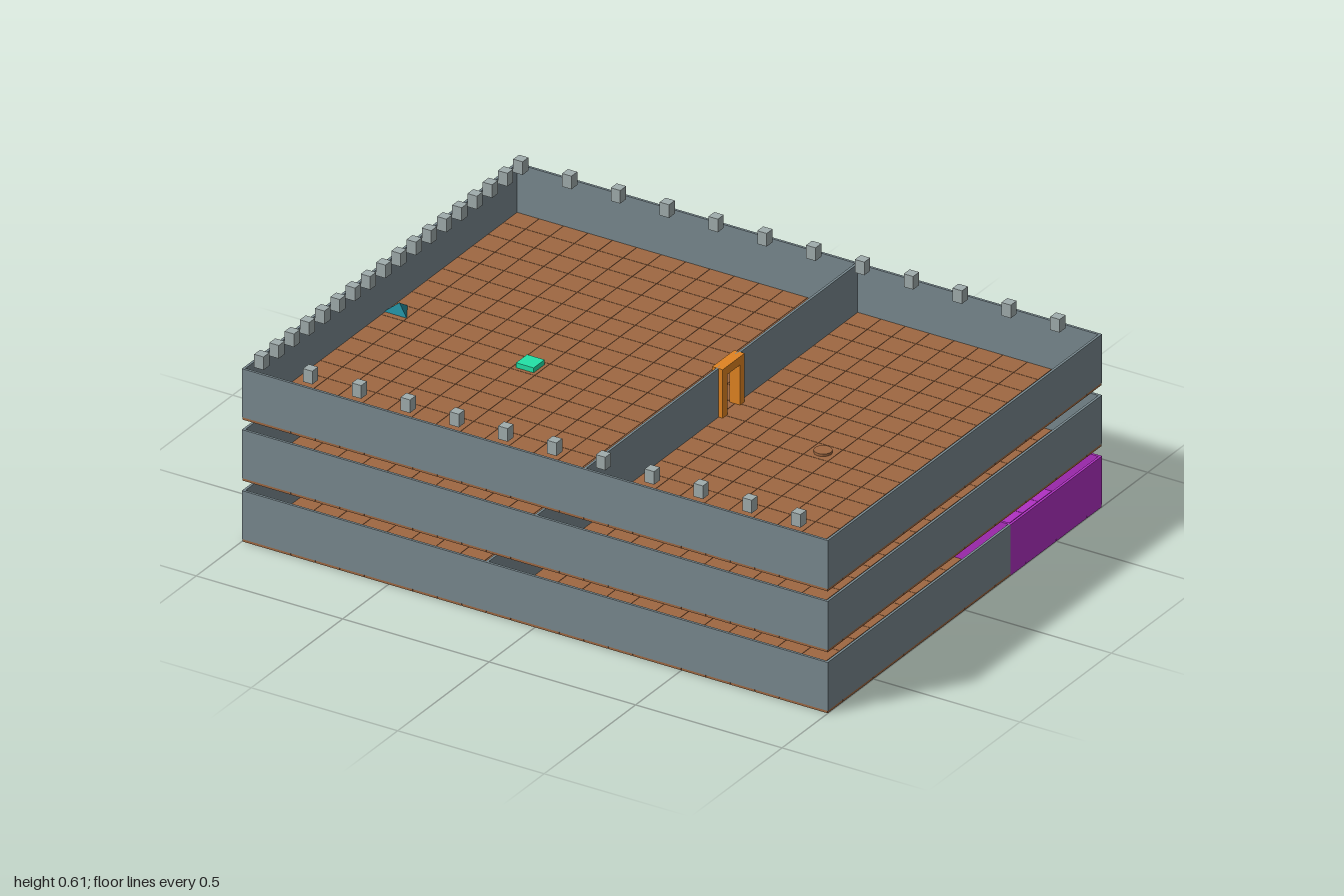
import * as THREE from 'three';
import { mergeGeometries } from 'three/addons/utils/BufferGeometryUtils.js';

const CELL = 1 / 12, COLS = 24, ROWS = 18;
const SLAB = 0.008, TOP = 0.167, STOREY = 0.2, WALL = 0.008;
const mat = (color) => new THREE.MeshStandardMaterial({ color, flatShading: true });
const stone = mat(0x78888e), paleStone = mat(0xa0acac), earth = mat(0x9e6842), purple = mat(0xb030c2);
const orange = mat(0xe08422), cyan = mat(0x45b0c8), teal = mat(0x1f8292), green = mat(0x22e0a6);

// Box given by its minimum and maximum corners
function box(x0, x1, y0, y1, z0, z1) {
  return new THREE.BoxGeometry(x1 - x0, y1 - y0, z1 - z0)
    .translate((x0 + x1) / 2, (y0 + y1) / 2, (z0 + z1) / 2);
}
function add(parent, name, geometries, material) {
  const mesh = new THREE.Mesh(mergeGeometries(geometries), material);
  mesh.name = name;
  parent.add(mesh);
}

// The coloured chamber occupies the back right corner of the lowest storey
const ROOM_X = 5 * CELL, ROOM_Z = -3 * CELL;

function floorTiles(storey, level) {
  const plain = [], tinted = [], h = CELL / 2 - 0.0007;
  for (let i = 0; i < COLS; i++) {
    for (let j = 0; j < ROWS; j++) {
      const x = -1 + (i + 0.5) * CELL, z = -0.75 + (j + 0.5) * CELL;
      const inRoom = level === 0 && x > ROOM_X && z < ROOM_Z;
      (inRoom ? tinted : plain).push(box(x - h, x + h, 0, SLAB, z - h, z + h));
    }
  }
  add(storey, 'floorTiles', plain, earth);
  if (tinted.length) add(storey, 'chamberFloor', tinted, purple);
}

function outerWalls(storey, level) {
  const backEnd = level === 0 ? ROOM_X : 1, sideStart = level === 0 ? ROOM_Z : -0.75;
  add(storey, 'outerWalls', [
    box(-1, 1, SLAB, TOP, 0.75 - WALL, 0.75),
    box(-1, backEnd, SLAB, TOP, -0.75, -0.75 + WALL),
    box(-1, -1 + WALL, SLAB, TOP, -0.75 + WALL, 0.75 - WALL),
    box(1 - WALL, 1, SLAB, TOP, sideStart, 0.75 - WALL),
  ], stone);
}

// Dividing wall along z with a framed doorway centred on doorZ
function partition(storey, x, doorZ, z0, z1, material) {
  const t = WALL / 2, half = CELL / 2;
  add(storey, 'partitionWall', [
    box(x - t, x + t, SLAB, TOP, z0, doorZ - half),
    box(x - t, x + t, SLAB, TOP, doorZ + half, z1),
  ], material);
  const d = 0.018, outer = 0.06, inner = 0.035, head = 0.14;
  add(storey, 'doorFrame', [
    box(x - d, x + d, SLAB, head, doorZ - outer, doorZ - inner),
    box(x - d, x + d, SLAB, head, doorZ + inner, doorZ + outer),
    box(x - d, x + d, head, TOP, doorZ - outer, doorZ + outer),
  ], orange);
}

// Open treads rising one storey towards +z, arriving at topZ
function stairs(storey, x, topZ) {
  const treads = [], n = 15, step = STOREY / (n + 1);
  for (let i = 0; i < n; i++) {
    const y = SLAB + i * step, z = topZ - (n - i) * step;
    treads.push(box(x - 0.0175, x + 0.0175, y, y + 0.009, z, z + 0.016));
  }
  add(storey, 'stairTreads', treads, cyan);
}

export function createModel() {
  const model = new THREE.Group();
  model.name = 'threeStoreyFort';
  const storeys = ['lowerStorey', 'middleStorey', 'upperStorey'].map((name, level) => {
    const storey = new THREE.Group();
    storey.name = name;
    storey.position.y = level * STOREY;
    floorTiles(storey, level);
    outerWalls(storey, level);
    model.add(storey);
    return storey;
  });
  const [lower, middle, upper] = storeys;

  // Dividing walls and stairs
  partition(lower, -2 * CELL, -6.5 * CELL, -0.742, 0.742, stone);
  partition(middle, 0, -6.5 * CELL, -0.742, 0.742, stone);
  partition(upper, 2 * CELL, -0.5 * CELL, -0.742, 0.742, stone);
  stairs(lower, -0.9375, 0);
  stairs(middle, 0.0575, -0.5);

  // Coloured chamber walls
  add(lower, 'chamberWalls', [
    box(ROOM_X, 1, SLAB, TOP, -0.75, -0.75 + WALL),
    box(1 - WALL, 1, SLAB, TOP, -0.75 + WALL, ROOM_Z),
    box(ROOM_X, 1 - WALL, SLAB, TOP, ROOM_Z - WALL, ROOM_Z),
  ], purple);
  partition(lower, ROOM_X + WALL / 2, -5.5 * CELL, -0.742, ROOM_Z - WALL, purple);

  // Battlements on the front, back and one side
  const merlons = [];
  const merlon = (x, z) => merlons.push(box(x - 0.016, x + 0.016, TOP, 0.21, z - 0.016, z + 0.016));
  for (let i = 0; i < COLS; i += 2) {
    for (const z of [-8.5 * CELL, 8.5 * CELL]) merlon(-1 + (i + 0.5) * CELL, z);
  }
  for (let j = 1; j < ROWS - 1; j++) merlon(-11.5 * CELL, -0.75 + (j + 0.5) * CELL);
  add(upper, 'battlements', merlons, paleStone);

  // Loose fittings on the upper floor
  add(upper, 'chest', [box(-0.488, -0.428, SLAB, 0.024, 0.011, 0.071)], green);
  add(upper, 'stairMarker', [
    new THREE.ConeGeometry(0.045, 0.03, 3).rotateY(Math.PI).translate(-0.957, SLAB + 0.015, -0.042),
  ], teal);
  add(upper, 'hatch', [
    new THREE.CylinderGeometry(0.028, 0.028, 0.008, 12).translate(6.5 * CELL, SLAB + 0.004, 0.5 * CELL),
  ], earth);
  return model;
}
